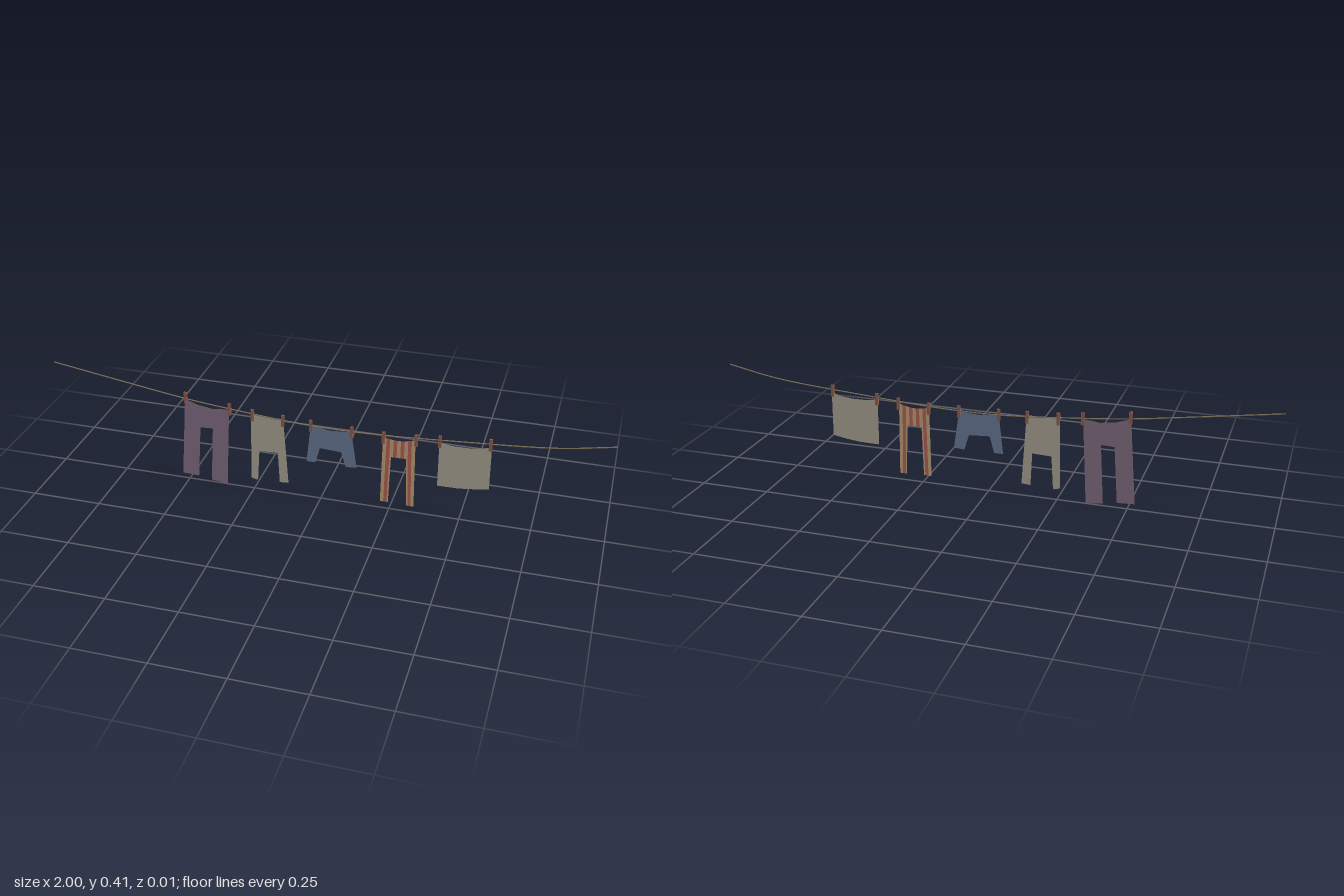
import * as THREE from 'three';

const paint = (name, color, side = THREE.FrontSide) => {
  const m = new THREE.MeshStandardMaterial({ color, side });
  m.name = name;
  return m;
};

export function createModel() {
  const group = new THREE.Group();
  group.name = 'clothesline';

  const mats = {
    rope: paint('rope olive', 0x857a60),
    peg: paint('peg brown', 0x96614f),
    purple: paint('faded purple', 0x8b738a, THREE.DoubleSide),
    beige: paint('linen beige', 0xb3ad9c, THREE.DoubleSide),
    blue: paint('dusty blue', 0x71809f, THREE.DoubleSide),
    red: paint('stripe red', 0xbf665c, THREE.DoubleSide),
    tan: paint('stripe tan', 0xcbab80, THREE.DoubleSide),
  };
  const add = (name, geometry, material, parent = group) => {
    const mesh = new THREE.Mesh(geometry, material);
    mesh.name = name;
    parent.add(mesh);
    return mesh;
  };
  const sheet = pts => new THREE.ShapeGeometry(
    new THREE.Shape(pts.map(([x, y]) => new THREE.Vector2(x, y))));

  // Sagging rope
  const ropePoints = [[-1, 0.408], [-0.71, 0.363], [-0.5, 0.332], [-0.285, 0.31], [-0.035, 0.292],
    [0.195, 0.293], [0.46, 0.309], [0.81, 0.337], [1, 0.372]];
  const curve = new THREE.CatmullRomCurve3(ropePoints.map(([x, y]) => new THREE.Vector3(x, y, 0)));
  add('rope', new THREE.TubeGeometry(curve, 32, 0.0022, 6), mats.rope);

  // Plain laundry: outlines run along the sagging top edge, then round the hems
  const laundry = {
    longTrousers: ['purple', [[-0.5, 0.331], [-0.452, 0.314], [-0.393, 0.305], [-0.335, 0.313],
      [-0.353, 0], [-0.414, 0.008], [-0.4, 0.225], [-0.447, 0.223], [-0.463, 0.017], [-0.525, 0.02]]],
    croppedTrousers: ['beige', [[-0.254, 0.308], [-0.195, 0.301], [-0.136, 0.304],
      [-0.12, 0.044], [-0.153, 0.042], [-0.158, 0.163], [-0.227, 0.16], [-0.235, 0.037], [-0.26, 0.043]]],
    shorts: ['blue', [[-0.036, 0.293], [0.035, 0.284], [0.11, 0.289],
      [0.13, 0.149], [0.091, 0.146], [0.074, 0.203], [-0.003, 0.208], [-0.019, 0.147], [-0.052, 0.147]]],
    towel: ['beige', [[0.417, 0.298], [0.46, 0.291], [0.516, 0.291], [0.565, 0.297], [0.595, 0.307],
      [0.596, 0.141], [0.545, 0.132], [0.49, 0.126], [0.417, 0.125]]],
  };
  for (const [name, [color, pts]] of Object.entries(laundry))
    add(name, sheet(pts), mats[color]).position.z = 0.001;

  // Striped trousers: nine vertical stripes, cut again where the legs begin
  const striped = new THREE.Group();
  striped.name = 'stripedTrousers';
  striped.position.z = 0.001;
  group.add(striped);
  const { lerp, mapLinear } = THREE.MathUtils;
  const legL = 2.45, legR = 6.6;
  const top = u => [lerp(0.222, 0.335, u / 9), lerp(0.289, 0.293, u / 9) - 0.01 * Math.sin(Math.PI * u / 9)];
  const crotch = u => [lerp(0.22, 0.336, u / 9), 0.213];
  const hem = u => u <= legL
    ? [mapLinear(u, 0, legL, 0.217, 0.246), 0.027]
    : [mapLinear(u, legR, 9, 0.312, 0.338), 0.024];
  const cuts = [0, 1, 2, legL, 3, 4, 5, 6, legR, 7, 8, 9];
  for (let i = 0; i < cuts.length - 1; i++) {
    const a = cuts[i], b = cuts[i + 1];
    const mat = Math.floor((a + b) / 2) % 2 ? mats.red : mats.tan;
    add('waistStripe', sheet([top(a), top(b), crotch(b), crotch(a)]), mat, striped);
    if (b <= legL || a >= legR)
      add('legStripe', sheet([crotch(a), crotch(b), hem(b), hem(a)]), mat, striped);
  }

  // Clothes pegs: two prongs gripping the rope from front and back
  const prong = new THREE.BoxGeometry(0.011, 0.044, 0.003);
  const pegs = [[-0.498, 0.335], [-0.334, 0.313], [-0.249, 0.302], [-0.138, 0.296], [-0.036, 0.292],
    [0.11, 0.288], [0.223, 0.286], [0.337, 0.292], [0.419, 0.3], [0.59, 0.314]];
  for (const [x, y] of pegs) {
    const peg = new THREE.Group();
    peg.name = 'peg';
    peg.position.set(x, y, 0);
    for (const s of [-1, 1]) {
      const p = add('pegProng', prong, mats.peg, peg);
      p.position.z = s * 0.0028;
      p.rotation.x = -s * 0.03;
    }
    group.add(peg);
  }
  return group;
}
